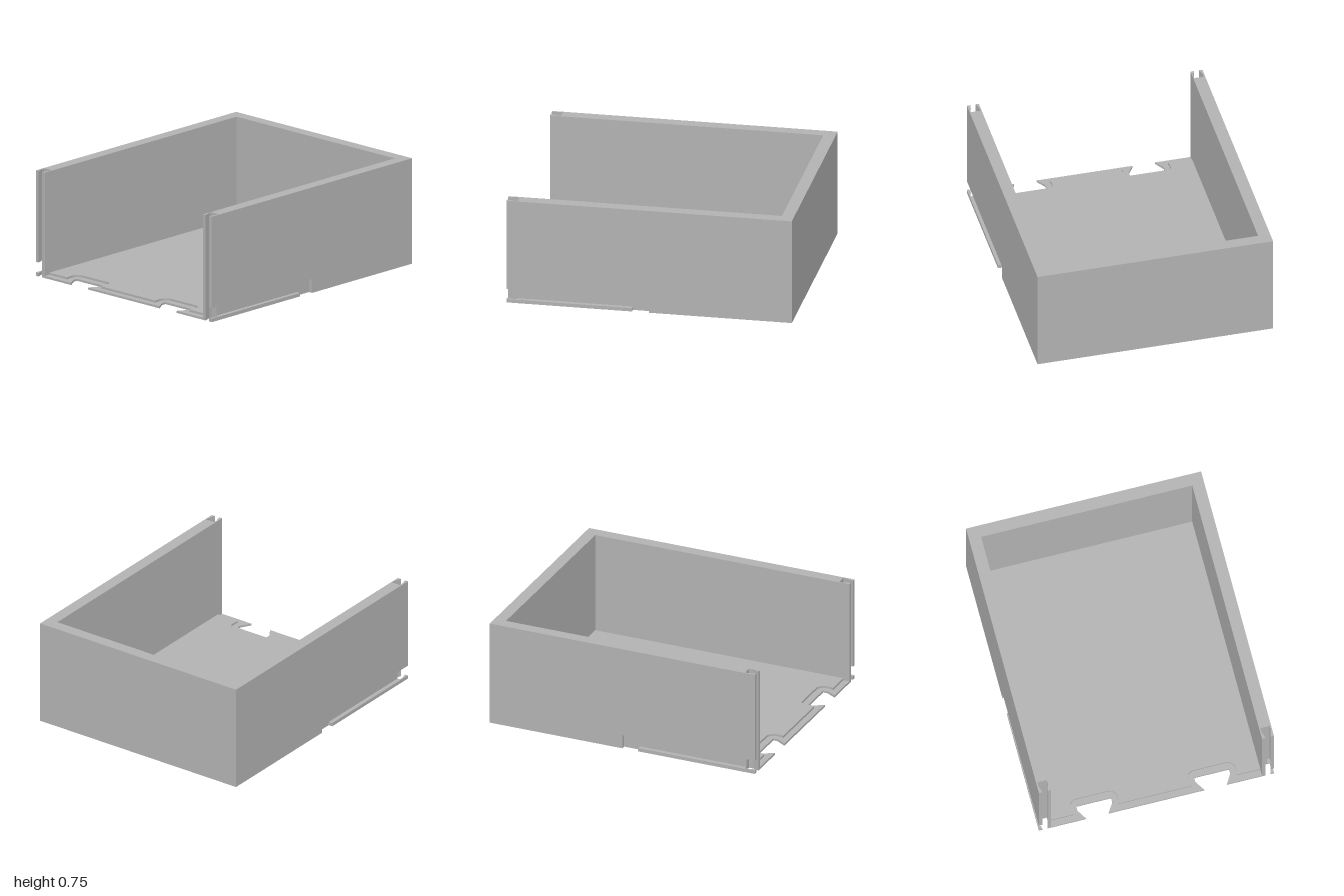
import * as THREE from 'three';

const W = 0.835, IN = 0.75, BACK = -0.915, REC = 0.805;

export function createModel() {
  const group = new THREE.Group();
  const grey = new THREE.MeshStandardMaterial({ color: 0xb2b2b2 });
  grey.name = 'grey';

  // Extrudes a plan outline, drawn in (x, -z), between two heights
  function slab(name, shape, y0, y1) {
    const geo = new THREE.ExtrudeGeometry(shape, { depth: y1 - y0, bevelEnabled: false, curveSegments: 8 });
    geo.rotateX(-Math.PI / 2);
    geo.translate(0, y0, 0);
    const mesh = new THREE.Mesh(geo, grey);
    mesh.name = name;
    group.add(mesh);
  }
  // Closed outline from its +x half, mirrored to -x
  function mirrored(half) {
    const left = half.map(([x, z]) => [-x, z]).reverse();
    return new THREE.Shape([...half, ...left].map(([x, z]) => new THREE.Vector2(x, -z)));
  }

  // U-shaped wall with dovetail slots in the front ends
  const slotInner = [[0.759, 0.922], [0.759, 0.95], [0.775, 1], [IN, 1], [IN, BACK]];
  const slotOuter = [[W, 1], [0.81, 1], [0.825, 0.95], [0.825, 0.922]];
  slab('walls', mirrored([[W, -1], ...slotOuter, ...slotInner]), 0.1, 0.755);

  // Side channel cut along the front half of each wall
  slab('wallChannel', mirrored([[W, -1], [W, 0], [REC, 0], [REC, 0.922], ...slotInner]), 0.025, 0.1);

  // Bottom rail under the channel, with an entry gap
  slab('bottomRails', mirrored([[W, -1], [W, 0], [REC, 0], [REC, 0.12], [W, 0.12],
    ...slotOuter, ...slotInner]), 0, 0.025);

  // Lower floor plate with two dovetail notches in the front edge
  slab('floorLower', mirrored([[IN, BACK], [IN, 1], [0.5, 1], [0.543, 0.93], [0.543, 0.896],
    [0.295, 0.896], [0.295, 0.93], [0.34, 1]]), 0, 0.015);

  // Upper floor plate, set back and curving around the notches
  const top = new THREE.Shape();
  top.moveTo(-IN, -BACK);
  top.lineTo(-IN, -0.955);
  for (const c of [-0.419, 0.419]) {
    const a = c - 0.167, b = c + 0.167, r = 0.055;
    top.lineTo(a + 0.007, -0.955);
    top.lineTo(a, -0.93);
    top.lineTo(a, -0.848 - r);
    top.absarc(a + r, -0.848 - r, r, Math.PI, Math.PI / 2, true);
    top.absarc(b - r, -0.848 - r, r, Math.PI / 2, 0, true);
    top.lineTo(b, -0.93);
    top.lineTo(b - 0.007, -0.955);
  }
  top.lineTo(IN, -0.955);
  top.lineTo(IN, -BACK);
  slab('floorUpper', top, 0.015, 0.03);

  return group;
}
